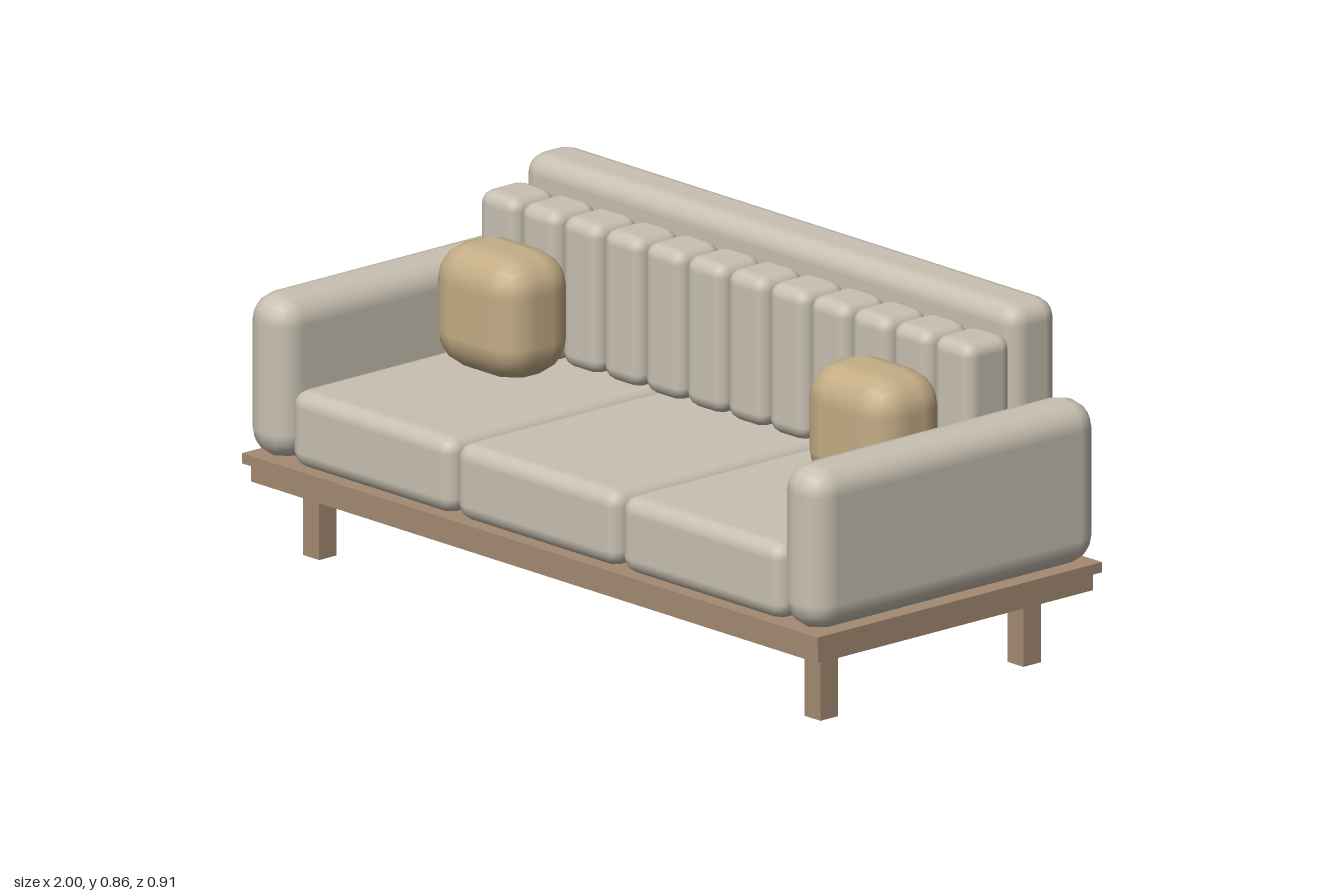
import * as THREE from 'three';
import { RoundedBoxGeometry } from 'three/addons/geometries/RoundedBoxGeometry.js';

const material = (name, color) => {
  const m = new THREE.MeshStandardMaterial({ color });
  m.name = name;
  return m;
};

export function createModel() {
  const sofa = new THREE.Group();
  sofa.name = 'sofa';
  const fabric = material('beige fabric', 0xc8c0b2);
  const pillowCloth = material('tan cloth', 0xc4ad86);
  const wood = material('brown wood', 0xa48a72);

  const add = (name, geometry, mat, x, y, z) => {
    const mesh = new THREE.Mesh(geometry, mat);
    mesh.name = name;
    mesh.position.set(x, y, z);
    sofa.add(mesh);
  };

  // Sharp wooden block: x centre and width, then y and z ranges
  const block = (name, x, w, y0, y1, z0, z1) =>
    add(name, new THREE.BoxGeometry(w, y1 - y0, z1 - z0), wood, x, (y0 + y1) / 2, (z0 + z1) / 2);

  // Soft padded block; its faces sit slightly inside the nominal size, so pad it
  const soft = (name, mat, x, w, y0, y1, z0, z1, r) => {
    const pad = 0.076 * r;
    const g = new RoundedBoxGeometry(w + pad, y1 - y0 + pad, z1 - z0 + pad, 2, r);
    add(name, g, mat, x, (y0 + y1) / 2, (z0 + z1) / 2);
  };

  // Wooden platform with a hollow apron below
  block('platform', 0, 2, 0.222, 0.247, -0.45, 0.45);
  block('frontRail', 0, 1.97, 0.178, 0.222, 0.395, 0.435);
  block('backRail', 0, 1.97, 0.178, 0.222, -0.435, -0.395);

  for (const s of [-1, 1]) {
    const side = s > 0 ? 'left' : 'right';
    block(side + 'Rail', s * 0.965, 0.04, 0.178, 0.222, -0.395, 0.395);
    block(side + 'FrontLeg', s * 0.871, 0.056, 0, 0.222, 0.293, 0.349);
    block(side + 'BackLeg', s * 0.871, 0.056, 0, 0.222, -0.349, -0.293);
    soft(side + 'Arm', fabric, s * 0.928, 0.142, 0.247, 0.643, -0.45, 0.45, 0.068);
    soft(side + 'Pillow', pillowCloth, s * 0.645, 0.3, 0.432, 0.73, -0.16, 0.06, 0.09);
  }

  // Backrest
  soft('backrest', fabric, 0, 1.71, 0.247, 0.862, -0.45, -0.3, 0.05);

  // Three seat cushions
  for (let i = -1; i <= 1; i++) {
    soft('seatCushion', fabric, i * 0.573, 0.561, 0.247, 0.432, -0.3, 0.436, 0.04);
  }

  // Row of narrow channel cushions in front of the backrest
  for (let i = 0; i < 12; i++) {
    soft('backChannel', fabric, (i - 5.5) * 0.1435, 0.13, 0.434, 0.8, -0.3, -0.16, 0.034);
  }

  return sofa;
}
